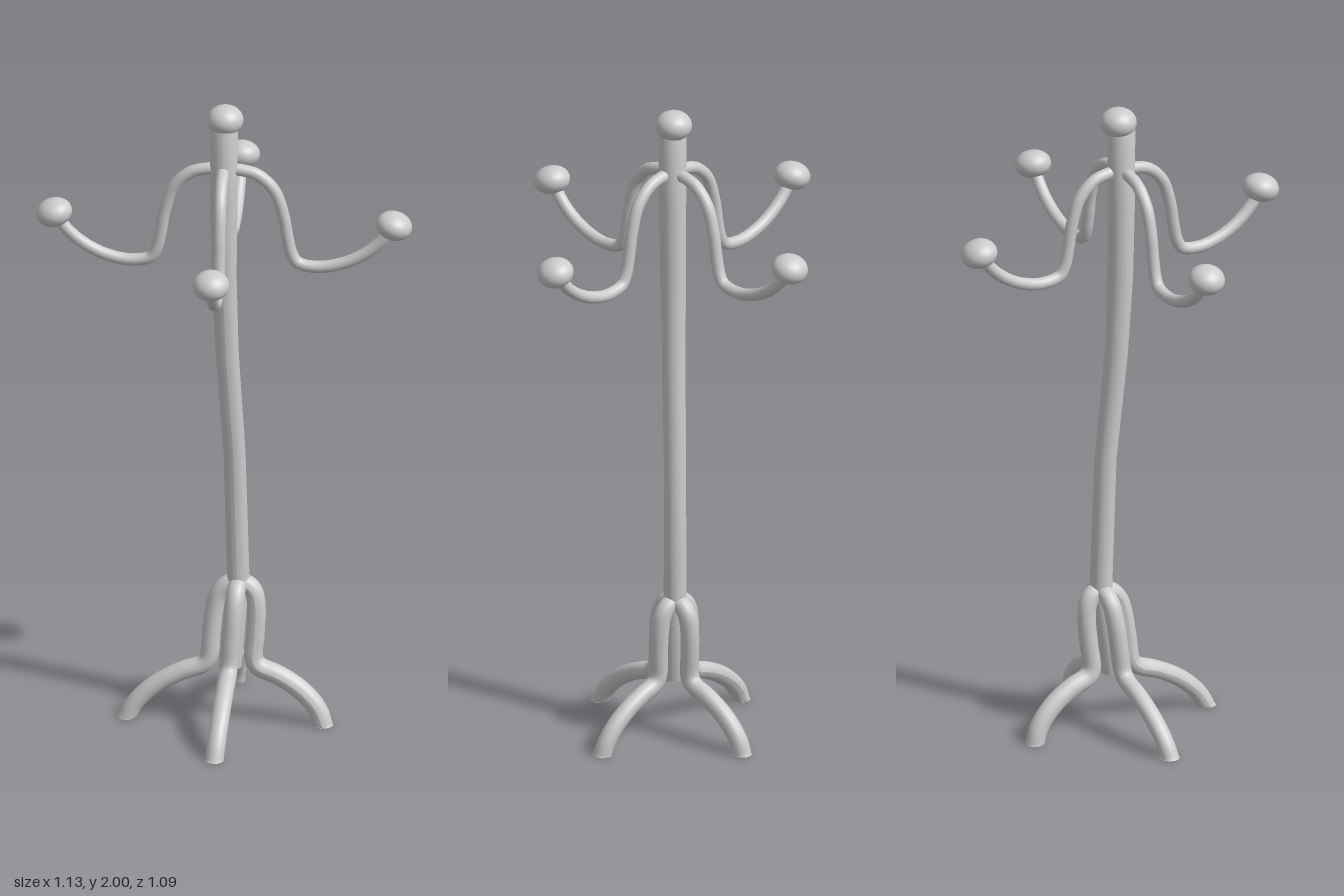
import * as THREE from 'three';

const material = new THREE.MeshStandardMaterial({ color: 0xcccccc, side: THREE.DoubleSide });

// Sideways sway of the pole and legs: [height, x, z]
const SWAY = [
  [0, 0.004, 0], [0.2, 0.02, -0.024], [0.45, 0.038, -0.048], [0.86, 0.028, -0.038],
  [1.2, 0.008, -0.013], [1.45, 0, -0.003], [1.7, 0, 0], [2, 0, 0],
];

function sway(y) {
  let i = 0;
  while (i < SWAY.length - 2 && y > SWAY[i + 1][0]) i++;
  const [a, b] = [SWAY[i], SWAY[i + 1]];
  const t = THREE.MathUtils.clamp((y - a[0]) / (b[0] - a[0]), 0, 1);
  return [a[1] + (b[1] - a[1]) * t, a[2] + (b[2] - a[2]) * t];
}

function bend(geometry) {
  const p = geometry.attributes.position;
  for (let i = 0; i < p.count; i++) {
    const y = Math.max(0, p.getY(i));
    const [dx, dz] = sway(y);
    p.setXYZ(i, p.getX(i) + dx, y, p.getZ(i) + dz);
  }
  geometry.computeVertexNormals();
  return geometry;
}

function add(parent, name, geometry) {
  const mesh = new THREE.Mesh(geometry, material);
  mesh.name = name;
  parent.add(mesh);
  return mesh;
}

// Tube through [distance from pole, height] points in the x-y plane
function tube(points, radius, segments) {
  const curve = new THREE.CatmullRomCurve3(
    points.map(([r, y]) => new THREE.Vector3(r, y, 0)), false, 'centripetal');
  return new THREE.TubeGeometry(curve, segments, radius, 16);
}

const LEG = [
  [0, 0.432], [0.03, 0.425], [0.052, 0.4], [0.063, 0.35], [0.066, 0.27], [0.068, 0.195],
  [0.085, 0.172], [0.14, 0.15], [0.2, 0.117], [0.25, 0.075], [0.28, 0.035], [0.298, -0.012],
];
const ARM = [
  [0, 1.8], [0.05, 1.797], [0.1, 1.783], [0.15, 1.735], [0.178, 1.655], [0.19, 1.585],
  [0.203, 1.53], [0.222, 1.501], [0.285, 1.49], [0.36, 1.506], [0.425, 1.54],
  [0.475, 1.585], [0.505, 1.63],
];

export function createModel() {
  const group = new THREE.Group();

  // Swaying pole, slightly thicker at the top
  const profile = [
    [0, 0.17], [0.034, 0.17], [0.034, 0.45], [0.033, 0.86], [0.035, 1.2],
    [0.038, 1.45], [0.041, 1.7], [0.042, 1.93], [0, 1.93],
  ].map(([r, y]) => new THREE.Vector2(r, y));
  add(group, 'pole', bend(new THREE.LatheGeometry(profile, 24)));

  // Flattened ball on top
  const finial = add(group, 'topBall', new THREE.SphereGeometry(0.055, 32, 20));
  finial.scale.y = 0.82;
  finial.position.set(0.003, 1.955, -0.008);

  // Four legs hugging the pole, then sweeping out to the floor
  for (let i = 0; i < 4; i++) {
    const angle = i * Math.PI / 2;
    add(group, 'leg', bend(tube(LEG, 0.028, 64).rotateY(angle)));
    const foot = new THREE.CircleGeometry(0.029, 16).rotateX(Math.PI / 2);
    foot.translate(0.294, 0, 0).rotateY(angle);
    add(group, 'footCap', bend(foot));
  }

  // Four hooked arms with tilted ball ends: [angle, reach, twist]
  const arms = [[0, 1, 0.02], [Math.PI / 2, 0.96, 0], [Math.PI, 1, 0], [-Math.PI / 2, 0.96, 0.03]];
  for (const [angle, reach, twist] of arms) {
    const arm = new THREE.Group();
    arm.name = 'arm';
    arm.rotation.y = angle + twist;
    add(arm, 'hook', tube(ARM.map(([r, y]) => [r * reach, y]), 0.0185, 72));
    const ball = add(arm, 'armBall', new THREE.SphereGeometry(0.055, 32, 20));
    ball.scale.y = 0.77;
    ball.rotation.z = -0.26;
    ball.position.set(0.51 * reach, 1.633, 0);
    group.add(arm);
  }
  return group;
}
